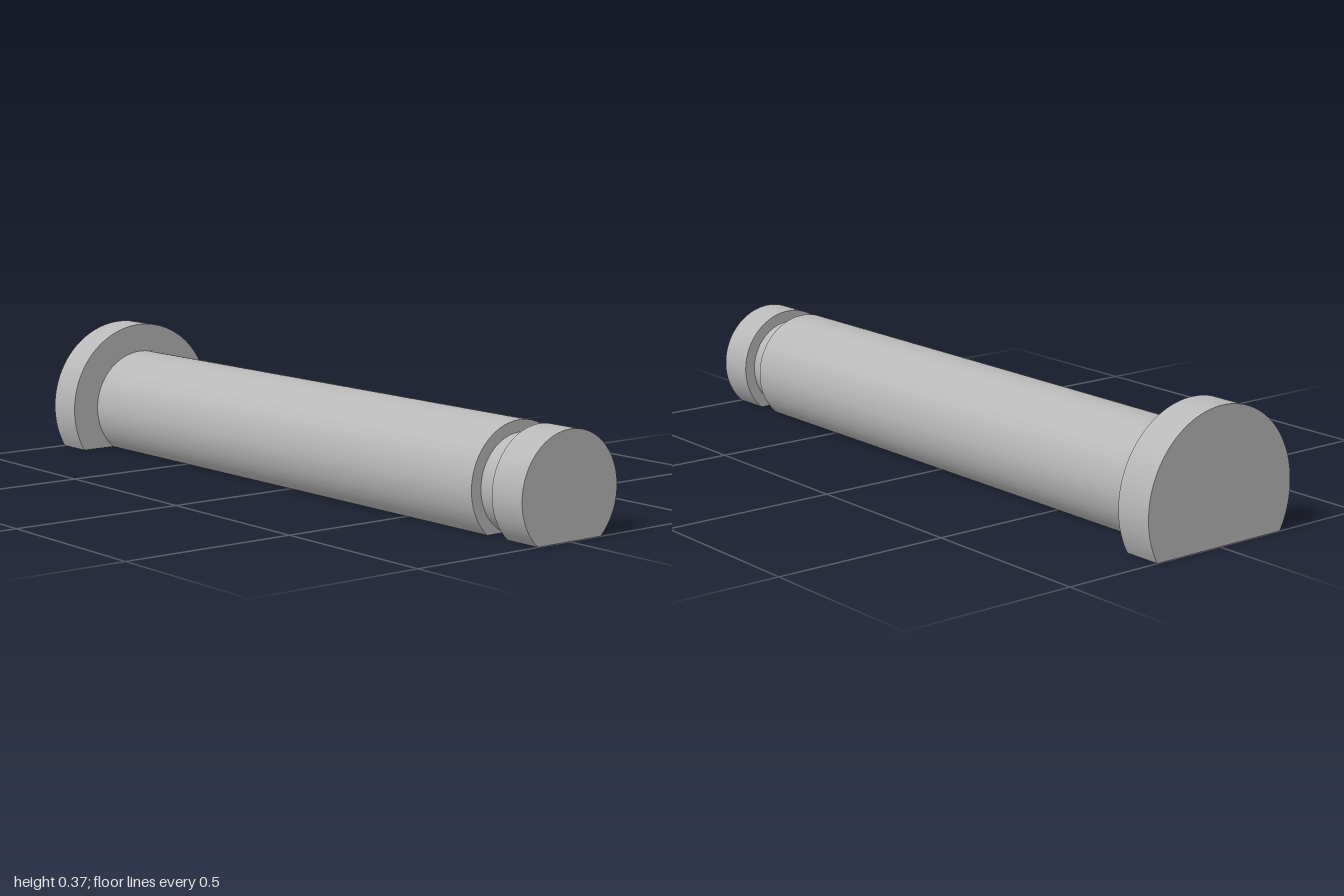
import * as THREE from 'three';
import { toCreasedNormals } from 'three/addons/utils/BufferGeometryUtils.js';

const AXIS_Y = 0.123; // height of the pin axis above the flat underside

// Round bar along z with its underside cut flat at y = 0
function flattedBar(name, radius, z0, z1, material) {
  const a = -Math.asin(AXIS_Y / radius);
  const shape = new THREE.Shape();
  shape.absarc(0, AXIS_Y, radius, a, Math.PI - a, false);
  shape.closePath();
  const extruded = new THREE.ExtrudeGeometry(shape, {
    depth: z1 - z0, bevelEnabled: false, curveSegments: 72,
  });
  extruded.translate(0, 0, z0);
  const mesh = new THREE.Mesh(toCreasedNormals(extruded, 0.2), material);
  mesh.name = name;
  return mesh;
}

export function createModel() {
  const steel = new THREE.MeshStandardMaterial({ color: 0xb8b8b8 });
  steel.name = 'steel grey';

  const pin = new THREE.Group();
  pin.name = 'clevisPin';
  pin.add(
    flattedBar('head', 0.247, -1, -0.89, steel),
    flattedBar('shaft', 0.164, -0.89, 0.814, steel),
    flattedBar('retainingGroove', 0.132, 0.814, 0.89, steel),
    flattedBar('tip', 0.164, 0.89, 1, steel),
  );
  return pin;
}
